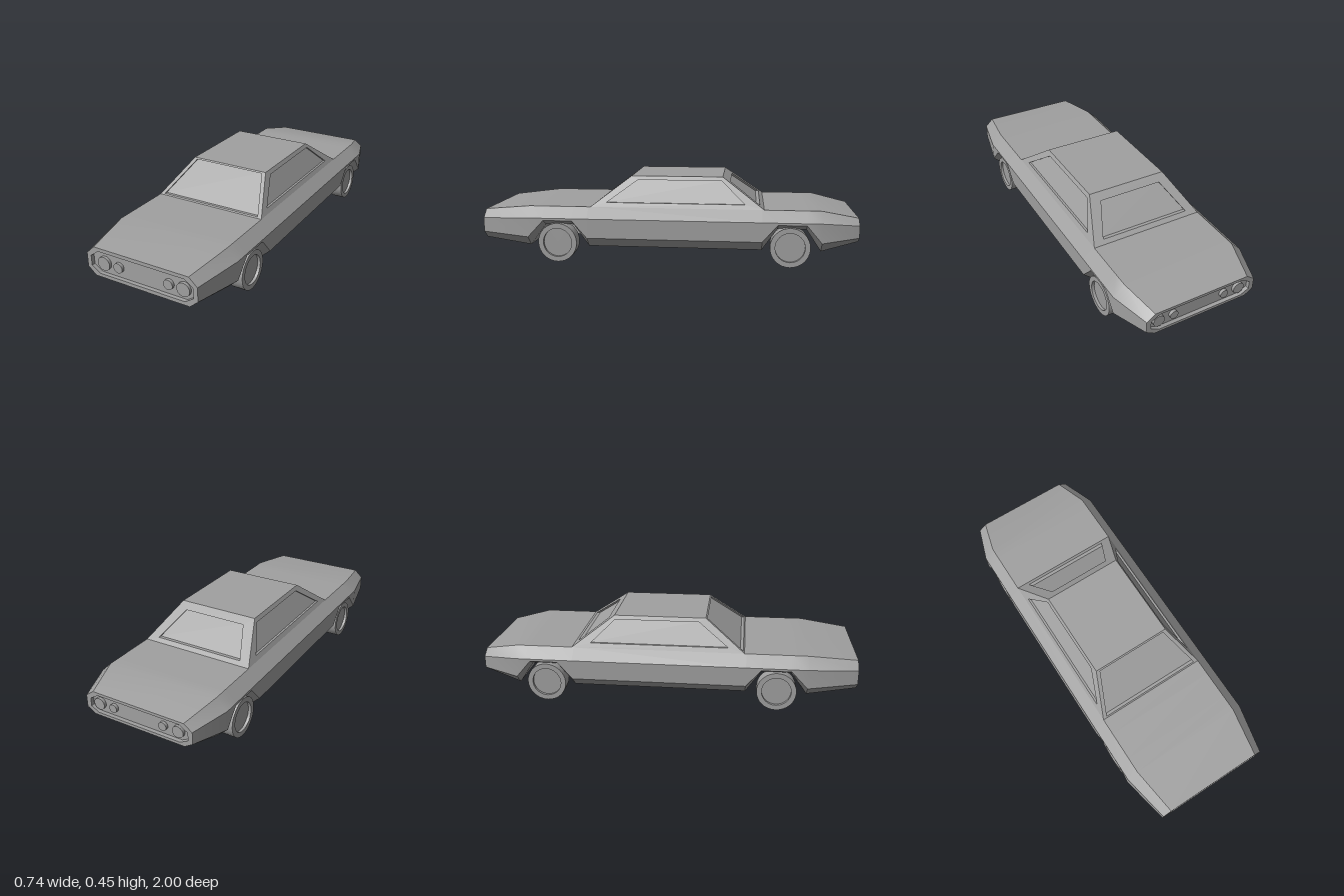
import * as THREE from 'three';
import { toCreasedNormals } from 'three/addons/utils/BufferGeometryUtils.js';

const CREASE = 0.5;

// Creased mesh from a list of polygons, each convex and counter-clockwise from outside
function polyMesh(name, polys, material) {
  const pos = [];
  for (const p of polys)
    for (let i = 1; i < p.length - 1; i++) pos.push(...p[0], ...p[i], ...p[i + 1]);
  const g = new THREE.BufferGeometry();
  g.setAttribute('position', new THREE.Float32BufferAttribute(pos, 3));
  g.computeVertexNormals();
  const mesh = new THREE.Mesh(toCreasedNormals(g, CREASE), material);
  mesh.name = name;
  return mesh;
}

// Strip of quads between two closed loops
const ring = (a, b) => a.map((p, i) => {
  const j = (i + 1) % a.length;
  return [p, a[j], b[j], b[i]];
});

// Flat frame around a pane that is sunk by an offset
function recessed(outer, inner, [dx, dy, dz]) {
  const pane = inner.map(([x, y, z]) => [x + dx, y + dy, z + dz]);
  return [...ring(outer, inner), ...ring(inner, pane), pane];
}

// Eight-sided body section: narrow and wide half widths, then four heights
function section(z, narrow, wide, bottom, lower, upper, top) {
  const half = [[narrow, bottom], [wide, lower], [wide, upper], [narrow, top]];
  return [
    [-narrow, bottom, z],
    ...half.map(([x, y]) => [x, y, z]),
    ...half.slice(1).reverse().map(([x, y]) => [-x, y, z]),
  ];
}

function buildBody(material) {
  const full = (z) => section(z, 0.31, 0.368, 0.08, 0.133, 0.236, 0.292);
  const arch = (z) => section(z, 0.31, 0.368, 0.195, 0.224, 0.236, 0.292);
  const loops = [
    section(1, 0.27, 0.315, 0.108, 0.147, 0.222, 0.264),
    full(0.74), arch(0.655), arch(0.5), full(0.42),
    full(-0.5), arch(-0.58), arch(-0.728), full(-0.805),
    section(-1, 0.26, 0.305, 0.125, 0.153, 0.217, 0.25),
  ];
  const polys = [];
  for (let i = 0; i < loops.length - 1; i++) polys.push(...ring(loops[i + 1], loops[i]));
  // Sunken nose and tail panels
  polys.push(...recessed(loops[0], section(1, 0.245, 0.291, 0.127, 0.157, 0.212, 0.245), [0, 0, -0.02]));
  polys.push(...recessed(loops.at(-1).reverse(),
    section(-1, 0.235, 0.28, 0.14, 0.163, 0.207, 0.235).reverse(), [0, 0, 0.02]));
  return polyMesh('body', polys, material);
}

function buildCabin(material) {
  const y0 = 0.292, y1 = 0.45;
  const lerp = (a, b, y) => a + (b - a) * (y - y0) / (y1 - y0);
  const sideX = (y) => lerp(0.31, 0.22, y);
  const frontZ = (y) => lerp(0.41, 0.2, y);
  const rearZ = (y) => lerp(-0.51, -0.29, y);
  const mirror = (poly) => poly.map(([x, y, z]) => [-x, y, z]).reverse();

  // Trapezoids lying on the sloped front, rear and side planes
  const across = (zAt, s, xa, ya, xb, yb) => [
    [-s * xa, ya, zAt(ya)], [s * xa, ya, zAt(ya)], [s * xb, yb, zAt(yb)], [-s * xb, yb, zAt(yb)]];
  const along = (ya, yb, z) => [
    [sideX(ya), ya, z[0]], [sideX(ya), ya, z[1]], [sideX(yb), yb, z[2]], [sideX(yb), yb, z[3]]];

  const side = recessed(along(y0, y1, [0.41, -0.51, -0.29, 0.2]),
    along(0.315, 0.43, [0.325, -0.41, -0.285, 0.165]), [-0.012, 0, 0]);
  const polys = [
    ...recessed(across(frontZ, 1, 0.31, y0, 0.22, y1),
      across(frontZ, 1, 0.285, 0.297, 0.201, 0.444), [0, 0, -0.016]),
    ...recessed(across(rearZ, -1, 0.31, y0, 0.22, y1),
      across(rearZ, -1, 0.247, 0.308, 0.175, 0.421), [0, 0, 0.018]),
    ...side, ...side.map(mirror),
    [[-0.22, y1, 0.2], [0.22, y1, 0.2], [0.22, y1, -0.29], [-0.22, y1, -0.29]],
  ];
  return polyMesh('cabin', polys, material);
}

export function createModel() {
  const car = new THREE.Group();
  car.name = 'car';
  const grey = new THREE.MeshStandardMaterial({ color: 0xa0a0a0 });
  grey.name = 'grey';
  car.add(buildBody(grey), buildCabin(grey));

  // Wheels with a sunken hub
  const profile = [[0, 0], [0.104, 0], [0.104, 0.07], [0.077, 0.07], [0.077, 0.055], [0, 0.055]]
    .map(([r, h]) => new THREE.Vector2(r, h));
  const wheelGeo = toCreasedNormals(new THREE.LatheGeometry(profile, 32), CREASE);
  for (const [end, z] of [['front', 0.582], ['rear', -0.645]])
    for (const s of [1, -1]) {
      const wheel = new THREE.Mesh(wheelGeo, grey);
      wheel.name = end + (s > 0 ? 'LeftWheel' : 'RightWheel');
      wheel.rotation.z = -s * Math.PI / 2;
      wheel.position.set(s * 0.288, 0.104, z);
      car.add(wheel);
    }

  // Round lamps on the nose and tail panels
  for (const [name, y, z] of [['headlight', 0.182, 0.985], ['tailLight', 0.186, -0.985]])
    for (const [x, r] of [[-0.221, 0.036], [-0.136, 0.026], [0.15, 0.026], [0.233, 0.036]]) {
      const size = z > 0 ? r : r * 0.85;
      const lamp = new THREE.Mesh(new THREE.CylinderGeometry(size, size, 0.02, 24), grey);
      lamp.name = name;
      lamp.rotation.x = Math.PI / 2;
      lamp.position.set(x, y, z);
      car.add(lamp);
    }
  return car;
}
